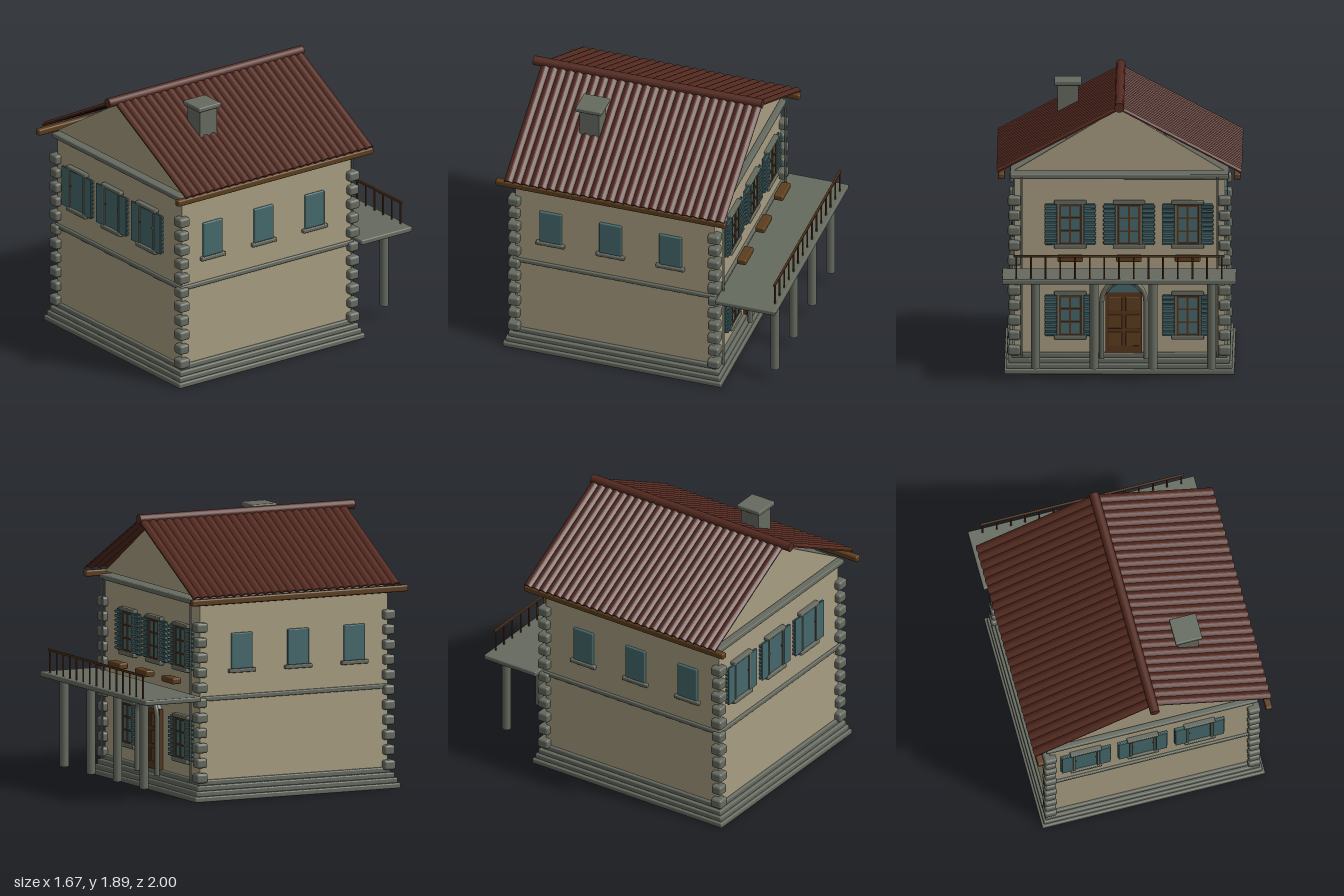
import * as THREE from 'three';
import { RoundedBoxGeometry } from 'three/addons/geometries/RoundedBoxGeometry.js';

const paint = (name, color) => Object.assign(new THREE.MeshStandardMaterial({ color }), { name });

export function createModel() {
  const plaster = paint('plaster', 0xa89d82);
  const stone = paint('stone', 0x656a5f);
  const teal = paint('teal', 0x45686c);
  const tile = paint('roofTile', 0x52291f);
  const wood = paint('wood', 0x5c3d1c);
  const darkWood = paint('darkWood', 0x57351c);

  const model = new THREE.Group();
  model.name = 'house';
  const MID = 0.175; // centre of the walls along z

  const add = (parent, name, geo, mat, x = 0, y = 0, z = 0) => {
    const mesh = new THREE.Mesh(geo, mat);
    mesh.name = name;
    mesh.position.set(x, y, z);
    parent.add(mesh);
    return mesh;
  };
  const box = (parent, name, mat, w, h, d, x, y, z) =>
    add(parent, name, new THREE.BoxGeometry(w, h, d), mat, x, y, z);
  const soft = (parent, name, mat, w, h, d, x, y, z) =>
    add(parent, name, new RoundedBoxGeometry(w, h, d, 2, Math.min(w, h, d) * 0.25), mat, x, y, z);
  const rod = (parent, name, mat, r, h, x, y, z) =>
    add(parent, name, new THREE.CylinderGeometry(r, r, h, 16), mat, x, y, z);
  const group = (name, x = 0, y = 0, z = 0) => {
    const g = new THREE.Group();
    g.name = name;
    g.position.set(x, y, z);
    model.add(g);
    return g;
  };

  // Walls, stepped plinth, belt and cornice
  box(model, 'walls', plaster, 1.43, 1.28, 1.43, 0, 0.72, MID);
  [0.785, 0.77, 0.755, 0.735].forEach((half, i) =>
    soft(model, 'plinthStep', stone, half * 2, 0.037, half * 2, 0, 0.0185 + i * 0.0355, MID));
  soft(model, 'beltCourse', stone, 1.46, 0.032, 1.46, 0, 0.701, MID);
  soft(model, 'cornice', stone, 1.49, 0.036, 1.49, 0, 1.362, MID);

  // Corner blocks, alternating in size
  for (const sx of [-1, 1]) for (const sz of [-1, 1])
    for (let i = 0; i < 11; i++) {
      const s = i % 2 ? 0.08 : 0.087;
      soft(model, 'cornerBlock', stone, s, 0.067, s, sx * 0.717, 0.159 + i * 0.1035, MID + sz * 0.717);
    }

  // Gable walls
  const triangle = new THREE.Shape([[-0.715, 1.4], [0.715, 1.4], [0, 1.83]].map(p => new THREE.Vector2(...p)));
  const gable = new THREE.ExtrudeGeometry(triangle, { depth: 0.03, bevelEnabled: false });
  add(model, 'frontGable', gable, plaster, 0, 0, 0.86);
  add(model, 'backGable', gable, plaster, 0, 0, -0.54);

  // Roof slopes: a row of arched tiles swept down the slope
  const ROWS = 26, SEG = 8, HALF = 0.79, top = [], under = [];
  for (let i = 0; i <= ROWS * SEG; i++) {
    const u = -HALF + (2 * HALF * i) / (ROWS * SEG);
    const v = Math.abs(Math.sin((Math.PI * i) / SEG)) * 0.016;
    top.push(new THREE.Vector2(u, v));
    under.unshift(new THREE.Vector2(u, v - 0.01));
  }
  const run = 0.83, drop = 0.438, angle = Math.atan2(drop, run);
  const slope = new THREE.ExtrudeGeometry(new THREE.Shape([...under.reverse(), ...top.reverse()]),
    { depth: Math.hypot(run, drop), bevelEnabled: false });
  slope.applyMatrix4(new THREE.Matrix4().makeBasis(
    new THREE.Vector3(0, 0, -1),
    new THREE.Vector3(Math.sin(angle), Math.cos(angle), 0),
    new THREE.Vector3(Math.cos(angle), -Math.sin(angle), 0)));
  add(model, 'leftRoofSlope', slope, tile, 0, 1.85, 0.145);
  add(model, 'rightRoofSlope', slope, tile, 0, 1.85, 0.145).rotation.y = Math.PI;
  rod(model, 'ridgeCap', tile, 0.033, 1.64, 0, 1.853, 0.173).rotation.x = Math.PI / 2;
  for (const s of [-1, 1]) soft(model, 'eavesBeam', wood, 0.046, 0.044, 1.65, s * 0.803, 1.38, 0.173);

  // Chimney
  box(model, 'chimney', stone, 0.143, 0.38, 0.143, 0.357, 1.64, 0.455);
  soft(model, 'chimneyCap', stone, 0.188, 0.034, 0.188, 0.357, 1.838, 0.455);

  // Plain side windows
  for (const s of [-1, 1]) for (const z of [0.635, 0.205, -0.225]) {
    soft(model, 'sideWindow', teal, 0.03, 0.247, 0.16, s * 0.717, 1.018, z);
    soft(model, 'sideSill', stone, 0.05, 0.027, 0.205, s * 0.717, 0.882, z);
  }

  // Shuttered windows: local +z points out of the wall
  const shutteredWindow = (name, x, y, front) => {
    const g = group(name, x, y, front ? 0.89 : -0.54);
    if (!front) g.rotation.y = Math.PI;
    soft(g, 'glass', teal, 0.155, 0.285, 0.014, 0, 0, 0.013);
    soft(g, 'lintel', stone, 0.22, 0.027, 0.04, 0, 0.152, 0.015);
    soft(g, 'sill', stone, 0.22, 0.03, 0.044, 0, -0.15, 0.015);
    for (const s of [-1, 1]) {
      soft(g, 'jamb', stone, 0.018, 0.285, 0.034, s * 0.084, 0, 0.013);
      soft(g, 'shutter', teal, 0.076, 0.285, 0.01, s * 0.132, 0, front ? 0.023 : 0.01);
      for (let i = 0; i < 9; i++)
        soft(g, 'slat', teal, 0.084, 0.02, 0.016, s * 0.134, -0.124 + i * 0.031, front ? 0.01 : 0.023);
      if (front) box(g, 'catch', darkWood, 0.01, 0.014, 0.008, s * 0.073, 0.02, 0.022);
      else box(g, 'sash', darkWood, 0.012, 0.28, 0.014, s * 0.069, 0, 0.02);
    }
    if (!front) {
      box(g, 'mullion', darkWood, 0.013, 0.28, 0.014, 0, 0, 0.02);
      for (const h of [-0.13, -0.045, 0.045, 0.13])
        box(g, 'glazingBar', darkWood, 0.145, 0.011, 0.012, 0, h, 0.02);
    }
  };
  for (const x of [-0.465, -0.065, 0.335]) {
    shutteredWindow('frontWindow', x, 1.03, true);
    shutteredWindow('backUpperWindow', x, 1.03, false);
    soft(model, 'planter', wood, 0.175, 0.043, 0.067, x, 0.81, -0.633);
  }
  for (const x of [-0.465, 0.335]) shutteredWindow('backGroundWindow', x, 0.4, false);

  // Back door with arched surround
  const door = group('door', -0.03, 0, -0.54);
  door.rotation.y = Math.PI;
  box(door, 'doorLeaf', darkWood, 0.25, 0.42, 0.03, 0, 0.35, 0.012);
  for (const s of [-1, 1]) for (const y of [0.24, 0.36, 0.48])
    soft(door, 'doorPanel', wood, 0.095, 0.095, 0.016, s * 0.06, y, 0.026);
  const fan = new THREE.CylinderGeometry(0.125, 0.125, 0.03, 20, 1, false, -Math.PI / 2, Math.PI);
  add(door, 'fanlight', fan, teal, 0, 0.5, 0.01).rotation.x = -Math.PI / 2;
  for (const s of [-1, 1]) rod(door, 'doorColumn', stone, 0.017, 0.395, s * 0.15, 0.3075, 0.058);
  add(door, 'doorArch', new THREE.TorusGeometry(0.15, 0.017, 12, 28, Math.PI), stone, 0, 0.505, 0.058);

  // Balcony on columns
  soft(model, 'balconySlab', stone, 1.595, 0.036, 0.43, 0, 0.712, -0.785);
  for (let i = 0; i < 4; i++) rod(model, 'balconyColumn', stone, 0.031, 0.6, -0.63 + i * 0.4, 0.4, -0.925);

  // Railing
  soft(model, 'handrail', darkWood, 1.435, 0.016, 0.016, 0, 0.886, -0.968);
  for (let i = 0; i < 15; i++) rod(model, 'baluster', darkWood, 0.006, 0.155, -0.7 + i * 0.1, 0.805, -0.968);

  // Downpipes at the back corners
  for (const s of [-1, 1]) rod(model, 'downpipe', stone, 0.007, 1.24, s * 0.668, 0.74, -0.588);

  return model;
}
